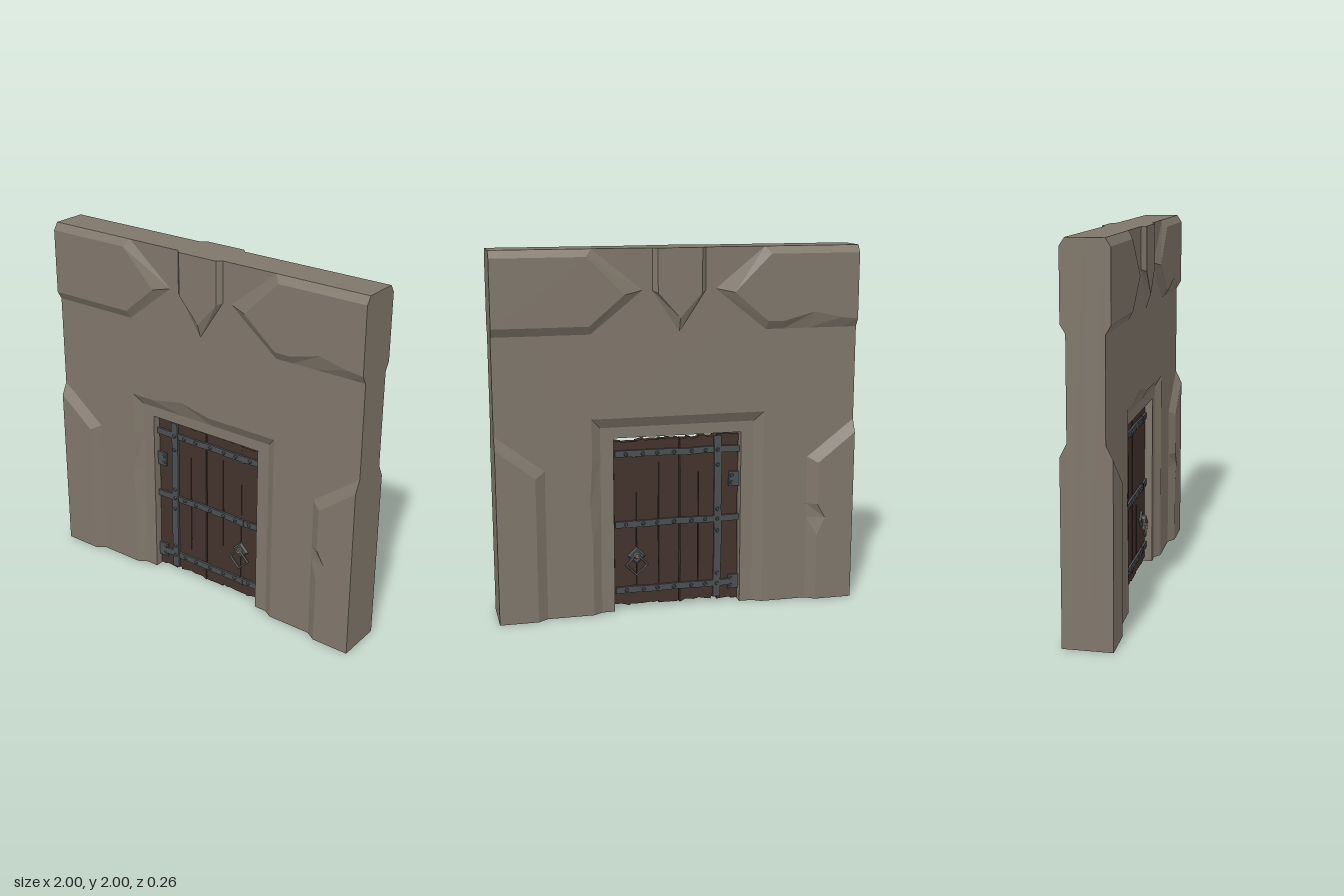
import * as THREE from 'three';

const stone = new THREE.MeshStandardMaterial({ color: 0x80776b });
stone.name = 'stone';
const wood = new THREE.MeshStandardMaterial({ color: 0x43322b });
wood.name = 'darkWood';
const iron = new THREE.MeshStandardMaterial({ color: 0x4b5052 });
iron.name = 'iron';
const pale = new THREE.MeshStandardMaterial({ color: 0x6f6a62 });
pale.name = 'wornMetal';

let seed = 7;
const rnd = () => (seed = (seed * 16807) % 2147483647) / 2147483647;
const jit = (a) => (rnd() - 0.5) * 2 * a;

function add(parent, name, geo, mat, x = 0, y = 0, z = 0) {
  const m = new THREE.Mesh(geo, mat);
  m.name = name;
  m.position.set(x, y, z);
  parent.add(m);
  return m;
}

function faceted(geo) {
  const g = geo.toNonIndexed();
  g.computeVertexNormals();
  return g;
}

function fromTriangles(tris) {
  const g = new THREE.BufferGeometry();
  g.setAttribute('position', new THREE.Float32BufferAttribute(tris.flat(2), 3));
  g.computeVertexNormals();
  return g;
}

// Flat outline pushed from z0 to z1
function slab(points, z0, z1) {
  const shape = new THREE.Shape(points.map((p) => new THREE.Vector2(...p)));
  const g = new THREE.ExtrudeGeometry(shape, { depth: z1 - z0, bevelEnabled: false });
  return g.translate(0, 0, z0);
}

// Raised block: sloped sides from the outer outline (z0) to the inner one (z1)
function raised(outer, inner, z0, z1) {
  const tris = [];
  const n = outer.length;
  for (let i = 0; i < n; i++) {
    const j = (i + 1) % n;
    const a = [...outer[i], z0], b = [...outer[j], z0];
    const c = [...inner[j], z1], d = [...inner[i], z1];
    tris.push([a, b, c], [a, c, d]);
  }
  const flat = inner.map((p) => new THREE.Vector2(...p));
  for (const f of THREE.ShapeUtils.triangulateShape(flat, [])) {
    tris.push(f.map((k) => [...inner[k], z1]));
  }
  return fromTriangles(tris);
}

const mirror = (pts) => pts.map(([x, y]) => [-x, y]).reverse();

// One half of the wall thickness, facing +z
function wallHalf(chipped) {
  const g = new THREE.Group();
  const Z = 0.095, R = 0.065;

  // Sloped recess around the doorway, with worn notches
  const top = chipped ? 1.14 : 1.1;
  const rim = [[-0.48, 0], [-0.48, 0.4], [-0.495, 0.62], [-0.48, 0.86], [-0.48, 1.1],
    [-0.34, 1.1], [-0.14, top], [0.05, 1.1], [0.48, 1.1], [0.48, 0]];
  const foot = [[-0.43, 0], [-0.43, 0.4], [-0.43, 0.62], [-0.43, 0.86], [-0.43, 1.045],
    [-0.34, 1.045], [-0.14, 1.045], [0.05, 1.045], [0.43, 1.045], [0.43, 0]];
  const tris = [];
  for (let i = 0; i < rim.length - 1; i++) {
    const a = [...rim[i], Z], b = [...foot[i], R];
    const c = [...foot[i + 1], R], d = [...rim[i + 1], Z];
    tris.push([a, b, c], [a, c, d]);
  }
  tris.push([[-0.48, 0, Z], [-0.48, 0, R], [-0.43, 0, R]]);
  tris.push([[0.48, 0, Z], [0.43, 0, R], [0.48, 0, R]]);
  add(g, 'doorwayBevel', fromTriangles(tris), stone);

  add(g, 'wallSlab', slab([[-1, 0], ...rim, [1, 0], [1, 2], [-1, 2]], 0, Z), stone);
  add(g, 'doorFrame', slab([[-0.48, 0], [-0.358, 0], [-0.358, 0.985], [0.358, 0.985],
    [0.358, 0], [0.48, 0], [0.48, 1.1], [-0.48, 1.1]], 0, R), stone);

  // Upper stones, the one on +x with a chipped lower edge
  const upOut = [[0.2, 1.78], [0.48, 1.555], [0.58, 1.555], [0.72, 1.555], [0.91, 1.555],
    [1, 1.555], [1, 2], [0.47, 2]];
  const upIn = [[0.3, 1.76], [0.49, 1.6], [0.58, 1.6], [0.75, 1.645], [0.91, 1.61],
    [1, 1.6], [1, 1.96], [0.5, 1.96]];
  const plain = (pts) => pts.filter((p, i) => i < 2 || i > 4);
  add(g, 'upperStoneLeft', raised(upOut, upIn, Z, 0.122), stone);
  add(g, 'upperStoneRight', raised(mirror(plain(upOut)), mirror(plain(upIn)), Z, 0.122), stone);

  // Keystone
  add(g, 'keystone', raised(
    [[-0.145, 2], [-0.145, 1.775], [0, 1.555], [0.145, 1.775], [0.145, 2]],
    [[-0.12, 2], [-0.12, 1.765], [0, 1.63], [0.12, 1.765], [0.12, 2]], Z, 0.12), stone);

  // Lower corner stones
  const lowOut = [[0.735, 0], [1, 0], [1, 1.035], [0.735, 0.83], [0.735, 0.56], [0.735, 0.48], [0.735, 0.38]];
  const lowIn = [[0.79, 0], [1, 0], [1, 0.965], [0.79, 0.8], [0.79, 0.56], [0.835, 0.48], [0.79, 0.38]];
  add(g, 'cornerStoneLeft', raised(lowOut, lowIn, Z, 0.13), stone);
  add(g, 'cornerStoneRight',
    raised(mirror(lowOut.slice(0, 4)), mirror(lowIn.slice(0, 4)), Z, 0.13), stone);
  return g;
}

// Plank outline with ragged ends and slightly wavy sides
function plank(x0, x1, y0, y1) {
  const w = x1 - x0, p = [];
  for (const t of [0, 0.3, 0.32, 0.7, 1]) p.push([x0 + w * t, y0 + jit(0.009)]);
  for (const t of [0.25, 0.5, 0.75]) p.push([x1 - 0.002 + jit(0.002), y0 + (y1 - y0) * t]);
  for (const t of [1, 0.65, 0.6, 0.3, 0]) p.push([x0 + w * t, y1 + jit(0.008)]);
  for (const t of [0.75, 0.5, 0.25]) p.push([x0 + 0.002 + jit(0.002), y0 + (y1 - y0) * t]);
  return slab(p, -0.022, 0.022);
}

// Hammered strap outline
function strap(len, width) {
  const lo = [], hi = [], n = 7;
  for (let i = 0; i <= n; i++) {
    const x = (i / n - 0.5) * len, o = jit(0.003);
    lo.push([x, o - width / 2]);
    hi.unshift([x, o + width / 2]);
  }
  return slab([...lo, ...hi], 0, 0.014);
}

// Ironwork for one face of the door
function ironwork() {
  const g = new THREE.Group();
  const rivet = faceted(new THREE.CylinderGeometry(0.008, 0.012, 0.008, 6).rotateX(Math.PI / 2));
  const rivetAt = (x, y, z = 0.038) => add(g, 'rivet', rivet, iron, x, y, z);
  for (const y of [0.885, 0.488, 0.108]) {
    add(g, 'crossStrap', strap(0.71, 0.036), iron, -0.01, y, 0.02);
    add(g, 'strapCollar', new THREE.BoxGeometry(0.016, 0.042, 0.017), iron, 0.24, y, 0.0285);
    for (const x of [-0.165, -0.085, 0.015, 0.11, 0.19, 0.285]) rivetAt(x, y);
    rivetAt(-0.233, y, 0.043);
  }
  add(g, 'uprightStrap', strap(0.935, 0.042).rotateZ(Math.PI / 2), iron, -0.233, 0.497, 0.025);
  for (const y of [0.8, 0.545, 0.42, 0.17]) rivetAt(-0.233, y, 0.043);
  for (const y of [0.713, 0.11]) {
    add(g, 'hingePlate', new THREE.BoxGeometry(0.066, 0.082, 0.014), iron, -0.332, y, 0.027);
    for (const d of [-0.02, 0.02]) rivetAt(-0.315, y + d, 0.036);
  }

  // Diamond plate, boss and hanging ring
  const plate = faceted(new THREE.CylinderGeometry(0.04, 0.052, 0.012, 4).rotateX(Math.PI / 2));
  add(g, 'handlePlate', plate, iron, 0.226, 0.302, 0.028);
  const boss = faceted(new THREE.CylinderGeometry(0.014, 0.022, 0.024, 8).rotateX(Math.PI / 2));
  add(g, 'handleBoss', boss, pale, 0.226, 0.305, 0.042);
  const ring = faceted(new THREE.TorusGeometry(0.06, 0.008, 6, 4));
  add(g, 'handleRing', ring, pale, 0.23, 0.258, 0.048);
  return g;
}

export function createModel() {
  const model = new THREE.Group();
  model.name = 'wallWithDoor';

  const front = wallHalf(true);
  front.name = 'wallFront';
  const back = wallHalf(false);
  back.name = 'wallBack';
  back.rotation.y = Math.PI;
  model.add(front, back);

  const door = new THREE.Group();
  door.name = 'door';
  const edges = [-0.355, -0.236, -0.127, -0.015, 0.1, 0.226, 0.35];
  for (let i = 0; i < 6; i++) {
    const gap = i === 2 ? 0.006 : 0;
    add(door, 'plank', plank(edges[i], edges[i + 1] - gap, 0.018 + jit(0.006), 0.963 + jit(0.008)), wood);
  }
  const frontIron = ironwork();
  frontIron.name = 'frontIronwork';

  // Back ironwork keeps its hinges and ring on the same sides of the door
  const backIron = ironwork();
  backIron.name = 'backIronwork';
  backIron.scale.z = -1;
  door.add(frontIron, backIron);
  model.add(door);
  return model;
}
